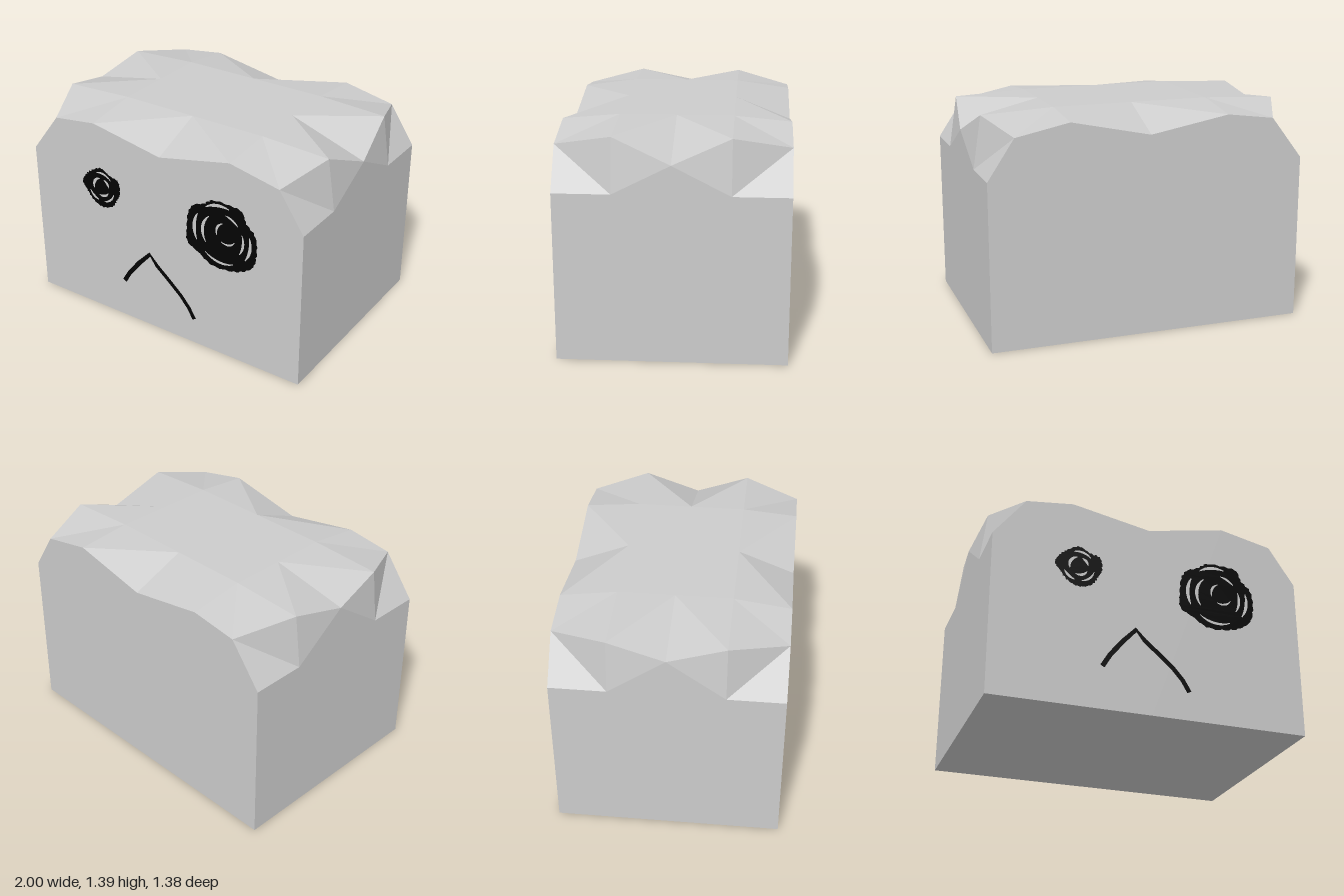
import * as THREE from 'three';

const TOP = 1.388, D = 0.69, H = 0.345, LOW = 1.04;

// One quarter of the chipped block, as convex polygons for the +x +z corner
function quarter(sx, sz, q, out) {
  const o = [0, TOP, 0], a = [0.5, TOP, 0], b = [0.5, TOP, H], m = [0, TOP, H];
  const v = [0, 1.25, D], f = [0.5, q.frontY, D], c = [q.cornerX, q.cornerY, D];
  const e = [q.edgeX, 1.366, H], s = [1, q.sideY, 0], k = [1, LOW, H], p = [1, LOW, D];
  const o0 = [0, 0, 0], s0 = [1, 0, 0], p0 = [1, 0, D], v0 = [0, 0, D];
  const polygons = [
    [o, m, b, a],                                       // flat middle of the top
    [m, v, f], [m, f, b], [b, f, c], [b, c, e], [a, b, e], [a, e, s], // sloping rim
    [e, k, s], [e, c, k], [c, p, k],                    // chipped corner
    [p0, s0, s, k, p], [v0, p0, p, c, f, v],            // walls
    [o0, s0, p0, v0],                                   // underside
  ];
  for (const poly of polygons) {
    for (let i = 1; i < poly.length - 1; i++) {
      const tri = [poly[0], poly[i], poly[i + 1]];
      if (sx * sz < 0) tri.reverse();
      for (const [x, y, z] of tri) out.push(x * sx, y, z * sz);
    }
  }
}

function blockGeometry() {
  const left = { cornerX: 0.835, cornerY: 1.288, edgeX: 0.95, sideY: 1.217, frontY: 1.357 };
  const right = { cornerX: 0.8, cornerY: 1.3, edgeX: 0.96, sideY: 1.287, frontY: 1.34 };
  const out = [];
  for (const sz of [1, -1]) {
    quarter(1, sz, left, out);
    quarter(-1, sz, right, out);
  }
  const g = new THREE.BufferGeometry();
  g.setAttribute('position', new THREE.Float32BufferAttribute(out, 3));
  g.computeVertexNormals();
  return g;
}

// Thin curved gap in a scribble: centre, radius, start and end angle in degrees, width
function slot(cx, cy, r, from, to, w) {
  const outer = [], inner = [], n = 8;
  for (let i = 0; i <= n; i++) {
    const t = THREE.MathUtils.degToRad(from + (to - from) * i / n);
    const half = w / 2 * (0.25 + 0.75 * Math.sin(Math.PI * i / n));
    outer.push(new THREE.Vector2(cx + (r + half) * Math.cos(t), cy + (r + half) * Math.sin(t)));
    inner.unshift(new THREE.Vector2(cx + (r - half) * Math.cos(t), cy + (r - half) * Math.sin(t)));
  }
  return new THREE.Path([...outer, ...inner]);
}

// Scribbled blob with a ragged outline and gaps
function scribble(outline, slots) {
  const curve = new THREE.CatmullRomCurve3(outline.map(([x, y]) => new THREE.Vector3(x, y, 0)), true);
  const pts = curve.getPoints(96).slice(0, -1).map((p, i) =>
    new THREE.Vector2(p.x + 0.004 * Math.sin(i * 2.3), p.y + 0.004 * Math.cos(i * 1.9)));
  const shape = new THREE.Shape(pts);
  shape.holes = slots.map((s) => slot(...s));
  return new THREE.ShapeGeometry(shape);
}

// Flat pen stroke of even width with round-ish ends
function stroke(points, w) {
  const up = [], down = [];
  points.forEach(([x, y], i) => {
    const [ax, ay] = points[Math.max(i - 1, 0)], [bx, by] = points[Math.min(i + 1, points.length - 1)];
    const l = Math.hypot(bx - ax, by - ay), nx = -(by - ay) / l * w / 2, ny = (bx - ax) / l * w / 2;
    up.push(new THREE.Vector2(x + nx, y + ny));
    down.unshift(new THREE.Vector2(x - nx, y - ny));
  });
  return new THREE.ShapeGeometry(new THREE.Shape([...up, ...down]));
}

export function createModel() {
  const stone = new THREE.MeshStandardMaterial({ color: 0xcccccc });
  stone.name = 'paleGrey';
  const ink = new THREE.MeshStandardMaterial({ color: 0x030303 });
  ink.name = 'blackInk';
  const group = new THREE.Group();
  const add = (name, geometry, material, z = 0) => {
    const mesh = new THREE.Mesh(geometry, material);
    mesh.name = name;
    mesh.position.z = z;
    group.add(mesh);
  };

  add('block', blockGeometry(), stone);

  // Drawn face on the front wall
  const front = D + 0.003;
  add('smallEye', scribble(
    [[-0.61, 0.91], [-0.58, 0.97], [-0.53, 1.01], [-0.46, 1.045], [-0.39, 1.01], [-0.325, 0.99],
      [-0.315, 0.9], [-0.34, 0.85], [-0.38, 0.795], [-0.46, 0.77], [-0.53, 0.8], [-0.58, 0.86]],
    [[-0.46, 0.91, 0.06, 100, 200, 0.02], [-0.46, 0.91, 0.06, 250, 330, 0.018],
      [-0.46, 0.91, 0.06, 10, 70, 0.018], [-0.46, 0.91, 0.1, 205, 255, 0.018],
      [-0.46, 0.91, 0.1, 40, 110, 0.016], [-0.46, 0.91, 0.1, 280, 345, 0.014]]), ink, front);
  add('largeEye', scribble(
    [[0.2, 0.74], [0.195, 0.83], [0.21, 0.95], [0.25, 1.01], [0.32, 1.04], [0.38, 1.08], [0.5, 1.085],
      [0.59, 1.07], [0.62, 1.0], [0.68, 0.94], [0.695, 0.83], [0.67, 0.72], [0.6, 0.665],
      [0.5, 0.635], [0.37, 0.635], [0.28, 0.69]],
    [[0.45, 0.86, 0.2, 75, 125, 0.022], [0.45, 0.86, 0.2, 150, 205, 0.025],
      [0.45, 0.86, 0.14, 130, 215, 0.022], [0.45, 0.86, 0.2, 325, 375, 0.022],
      [0.45, 0.86, 0.15, 325, 380, 0.018], [0.45, 0.86, 0.19, 230, 295, 0.018],
      [0.48, 0.88, 0.07, 110, 200, 0.016], [0.48, 0.88, 0.07, 240, 330, 0.014],
      [0.45, 0.86, 0.15, 40, 80, 0.016]]), ink, front);
  add('mouth', stroke(
    [[-0.308, 0.27], [-0.26, 0.35], [-0.18, 0.45], [-0.095, 0.54], [-0.04, 0.475], [0.05, 0.4],
      [0.14, 0.32], [0.2, 0.25], [0.24, 0.18]], 0.03), ink, front);

  return group;
}
